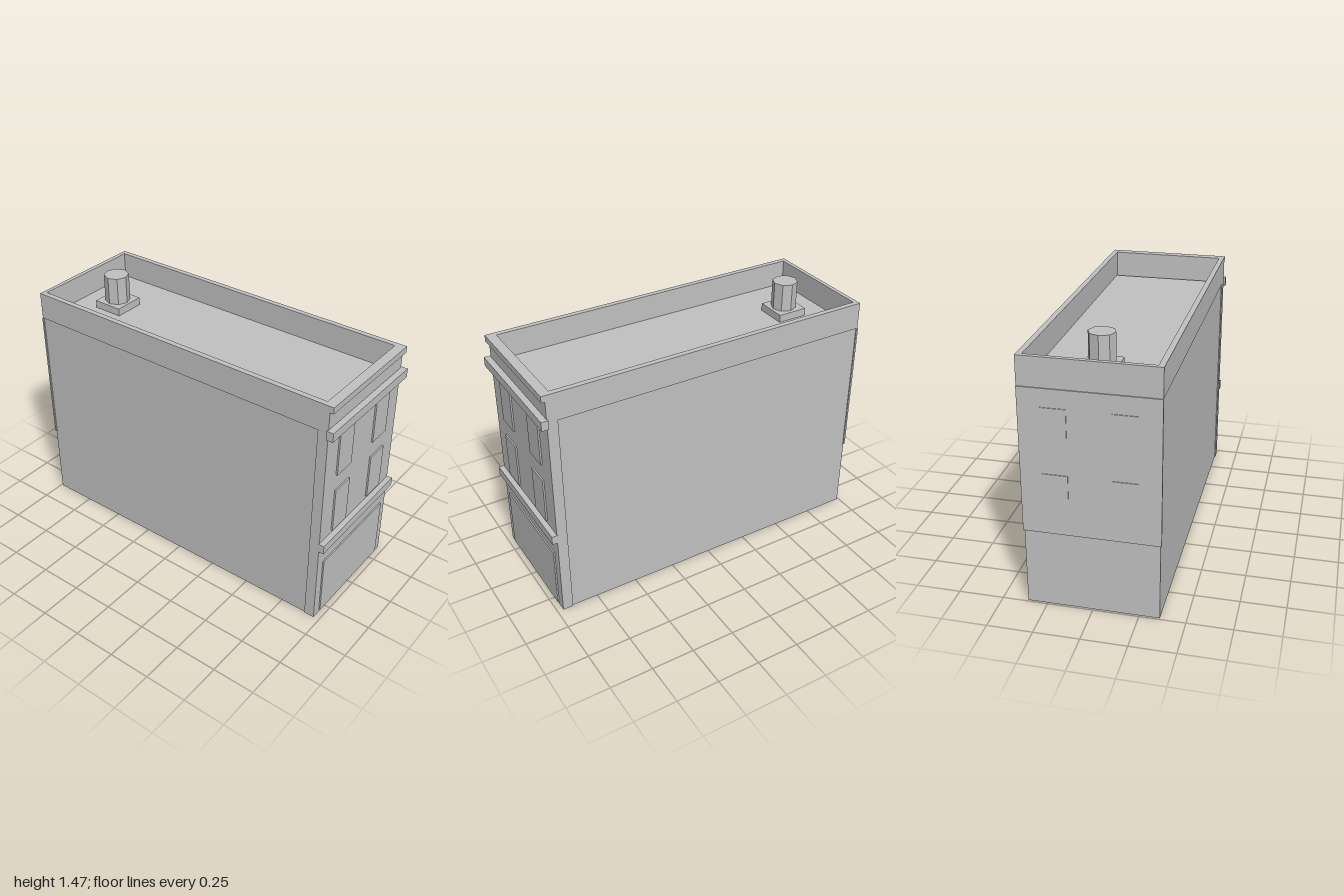
import * as THREE from 'three';

export function createModel() {
  const group = new THREE.Group();
  group.name = 'townBuilding';
  const grey = new THREE.MeshStandardMaterial({ color: 0xc0c0c0, flatShading: true });
  grey.name = 'plain grey';

  // Box given by its lower and upper limits on each axis
  const box = (name, x0, x1, y0, y1, z0, z1) => {
    const mesh = new THREE.Mesh(new THREE.BoxGeometry(x1 - x0, y1 - y0, z1 - z0), grey);
    mesh.position.set((x0 + x1) / 2, (y0 + y1) / 2, (z0 + z1) / 2);
    mesh.name = name;
    group.add(mesh);
  };

  // Main block, its top is the sunken roof
  box('body', -0.36, 0.36, 0, 1.26, -0.99, 0.91);
  // Facade slab, slightly wider than the recessed side walls
  box('facade', -0.366, 0.366, 0, 1.25, 0.905, 0.965);

  // Parapet ring around the roof; shape y maps to -z
  const rect = (path, x, z0, z1) => {
    path.moveTo(-x, -z1);
    path.lineTo(x, -z1);
    path.lineTo(x, -z0);
    path.lineTo(-x, -z0);
    path.closePath();
    return path;
  };
  const ring = rect(new THREE.Shape(), 0.366, -0.99, 0.965);
  ring.holes.push(rect(new THREE.Path(), 0.335, -0.965, 0.93));
  const ringGeometry = new THREE.ExtrudeGeometry(ring, { depth: 0.16, bevelEnabled: false });
  ringGeometry.rotateX(-Math.PI / 2);
  const parapet = new THREE.Mesh(ringGeometry, grey);
  parapet.position.y = 1.25;
  parapet.name = 'parapet';
  group.add(parapet);

  // Horizontal bands on the front
  box('topTrim', -0.366, 0.366, 1.373, 1.41, 0.96, 0.985);
  box('cornice', -0.378, 0.378, 1.22, 1.273, 0.96, 1.0);
  box('beltCourse', -0.37, 0.37, 0.49, 0.542, 0.96, 0.996);

  // Shop front and raised back wall panel
  box('shopFront', -0.312, 0.312, 0.015, 0.38, 0.96, 0.973);
  box('backPanel', -0.366, 0.366, 0.44, 1.25, -0.996, -0.985);

  // Windows on two floors, front and back
  for (const x of [-0.182, 0.182]) {
    for (const y of [0.56, 0.93]) box('frontWindow', x - 0.07, x + 0.07, y, y + 0.27, 0.96, 0.974);
    for (const y of [0.625, 0.99]) box('backWindow', x - 0.067, x + 0.067, y, y + 0.16, -1.0, -0.99);
  }

  // Roof vent: square base and eight-sided stack
  box('ventBase', -0.092, 0.092, 1.255, 1.305, -0.817, -0.637);
  const stack = new THREE.Mesh(new THREE.CylinderGeometry(0.073, 0.073, 0.17, 8), grey);
  stack.position.set(0, 1.383, -0.726);
  stack.name = 'ventStack';
  group.add(stack);

  return group;
}
